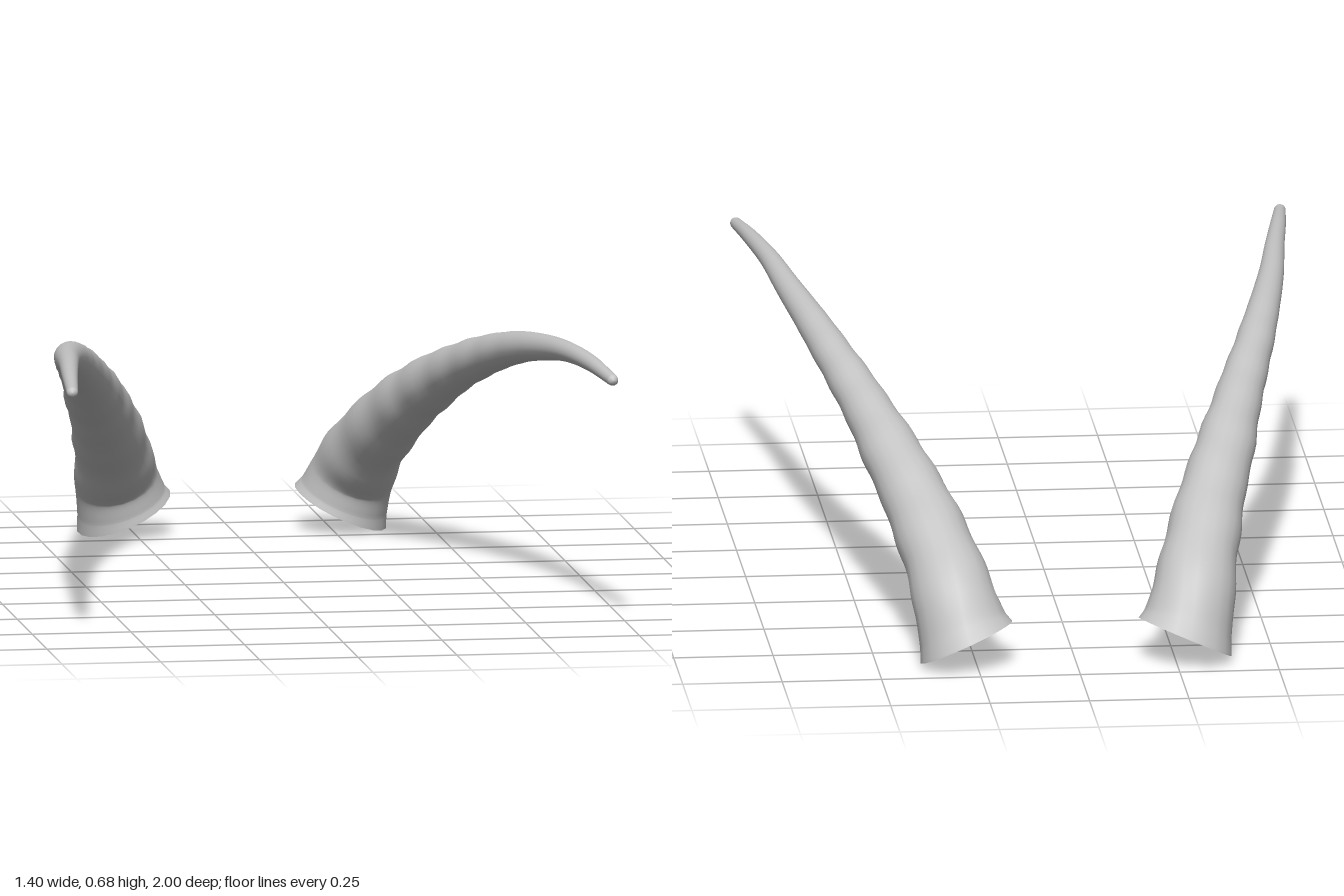
import * as THREE from 'three';

// Stations along the left horn: x, y, z of the centre, then radius
const STATIONS = [
  [0.275, 0.057, -0.872, 0.127],
  [0.283, 0.085, -0.86, 0.116],
  [0.298, 0.145, -0.83, 0.106],
  [0.325, 0.235, -0.73, 0.096],
  [0.375, 0.348, -0.55, 0.083],
  [0.41, 0.408, -0.44, 0.076],
  [0.47, 0.5, -0.22, 0.06],
  [0.528, 0.57, 0, 0.049],
  [0.572, 0.615, 0.2, 0.04],
  [0.608, 0.643, 0.4, 0.032],
  [0.635, 0.66, 0.6, 0.025],
  [0.662, 0.66, 0.8, 0.02],
  [0.684, 0.648, 0.986, 0.0145],
];
const SIDES = 20;
const STEPS = 96;
const BASE_NORMAL = new THREE.Vector3(0.45, 1, 0.2).normalize();

// Rings of the horn: centre, facing direction, radius and ripple strength
function hornRings() {
  const path = new THREE.CatmullRomCurve3(STATIONS.map(([x, y, z]) => new THREE.Vector3(x, y, z)));
  const sizes = new THREE.CatmullRomCurve3(
    STATIONS.map((s) => new THREE.Vector3(s[3], 0, 0)), false, 'catmullrom');
  const rings = [];
  for (let i = 0; i <= STEPS; i++) {
    const t = i / STEPS;
    const center = path.getPoint(t);
    // the cut of the base is tilted, then the rings turn to follow the path
    const normal = BASE_NORMAL.clone().lerp(path.getTangent(t), Math.min(1, t / 0.25)).normalize();
    const ripple = THREE.MathUtils.smoothstep(t, 0.05, 0.2) * (1 - THREE.MathUtils.smoothstep(t, 0.5, 0.75));
    rings.push({ center, normal, radius: sizes.getPoint(t).x, ripple });
  }
  // rounded tip
  const end = rings[STEPS];
  for (let k = 1; k <= 4; k++) {
    const a = (k / 4) * Math.PI / 2;
    rings.push({
      center: end.center.clone().addScaledVector(end.normal, end.radius * Math.sin(a)),
      normal: end.normal,
      radius: Math.max(end.radius * Math.cos(a), 0.0002),
      ripple: 0,
    });
  }
  return rings;
}

// Surface through the rings; side -1 mirrors it
function hornGeometry(rings, side) {
  const positions = [];
  const indices = [];
  const row = SIDES;
  for (const { center, normal, radius, ripple } of rings) {
    const u = new THREE.Vector3(1, 0, 0).addScaledVector(normal, -normal.x).normalize();
    const v = normal.clone().cross(u);
    for (let j = 0; j < SIDES; j++) {
      const a = (j / SIDES) * Math.PI * 2;
      // soft, uneven growth ridges
      const bump = Math.sin(center.z * 46 + 0.9 * Math.sin(a + 1)) + 0.4 * Math.sin(center.z * 27 + 2 * a);
      const r = radius * (1 + 0.024 * ripple * bump);
      const p = center.clone().addScaledVector(u, r * Math.cos(a)).addScaledVector(v, r * Math.sin(a));
      positions.push(p.x * side, p.y, p.z);
    }
  }
  for (let i = 0; i < rings.length - 1; i++) {
    for (let j = 0; j < SIDES; j++) {
      const a = i * row + j;
      const b = i * row + (j + 1) % SIDES;
      const quad = [a, b, a + row, b, b + row, a + row];
      indices.push(...(side > 0 ? quad : quad.reverse()));
    }
  }
  const geometry = new THREE.BufferGeometry();
  geometry.setAttribute('position', new THREE.Float32BufferAttribute(positions, 3));
  geometry.setIndex(indices);
  geometry.computeVertexNormals();
  return geometry;
}

export function createModel() {
  const hornGrey = new THREE.MeshStandardMaterial({ color: 0xc4c4c4 });
  hornGrey.name = 'hornGrey';
  const model = new THREE.Group();
  model.name = 'horns';
  const rings = hornRings();

  for (const side of [1, -1]) {
    const horn = new THREE.Group();
    horn.name = side > 0 ? 'leftHorn' : 'rightHorn';

    const shaft = new THREE.Mesh(hornGeometry(rings, side), hornGrey);
    shaft.name = 'hornShaft';

    // flat cut closing the base
    const { center, radius } = rings[0];
    const cap = new THREE.Mesh(new THREE.CircleGeometry(radius, SIDES), hornGrey);
    cap.name = 'baseCap';
    cap.position.set(center.x * side, center.y, center.z);
    const facing = new THREE.Vector3(-BASE_NORMAL.x * side, -BASE_NORMAL.y, -BASE_NORMAL.z);
    cap.quaternion.setFromUnitVectors(new THREE.Vector3(0, 0, 1), facing);

    horn.add(shaft, cap);
    model.add(horn);
  }
  return model;
}
